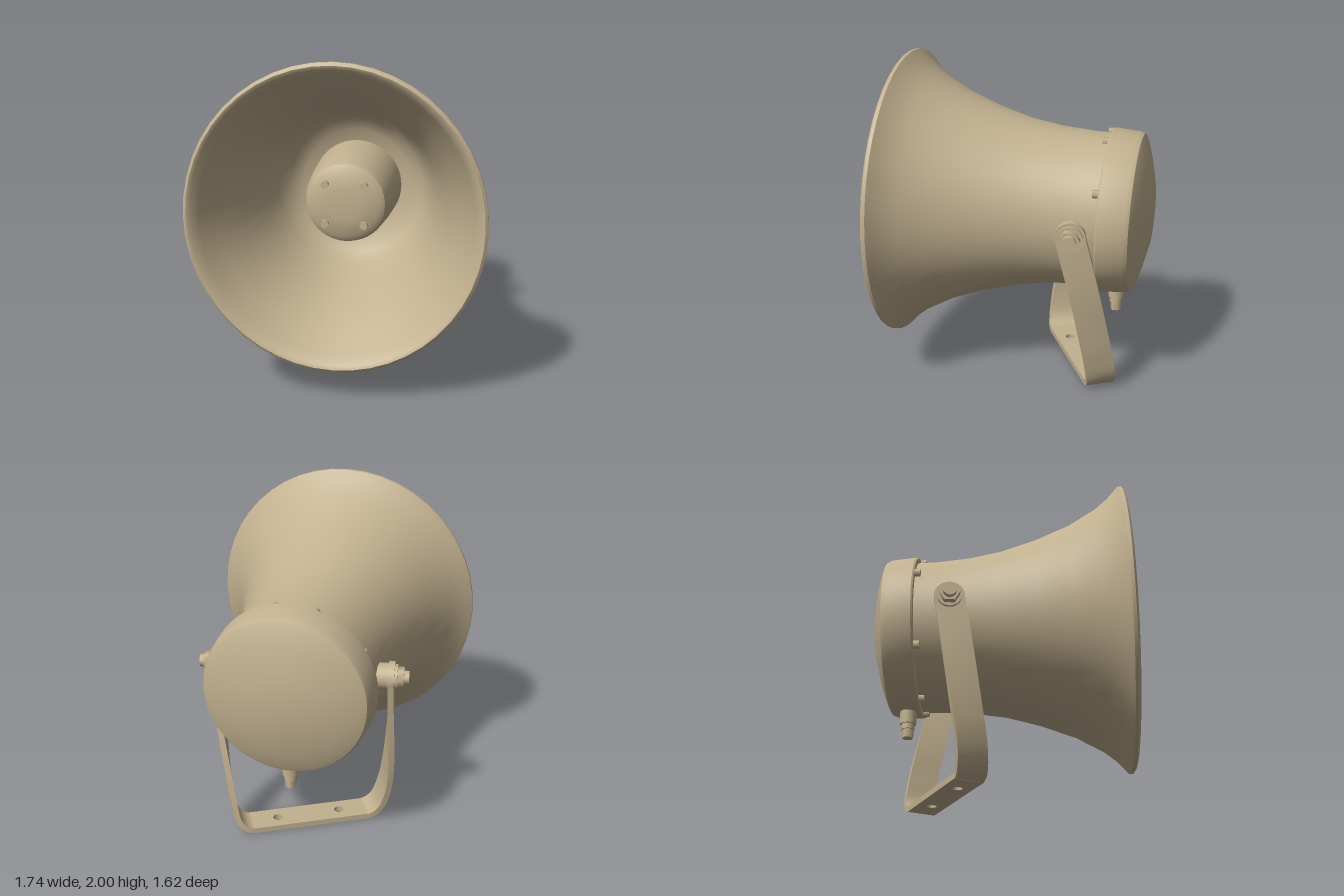
import * as THREE from 'three';
import { toCreasedNormals } from 'three/addons/utils/BufferGeometryUtils.js';

const paint = new THREE.MeshStandardMaterial({ color: 0xc2b190 });
paint.name = 'tan paint';

function add(parent, name, geometry, x = 0, y = 0, z = 0) {
  const mesh = new THREE.Mesh(geometry, paint);
  mesh.name = name;
  mesh.position.set(x, y, z);
  parent.add(mesh);
  return mesh;
}

// Turned part along z, from [radius, z] pairs
function turned(profile, crease = 0.6) {
  const points = profile.map(([r, z]) => new THREE.Vector2(r, z));
  return toCreasedNormals(new THREE.LatheGeometry(points, 48).rotateX(Math.PI / 2), crease);
}

// Short rod along x, from x0 to x1
function rod(r, x0, x1, sides = 20) {
  return new THREE.CylinderGeometry(r, r, x1 - x0, sides).rotateZ(-Math.PI / 2).translate((x0 + x1) / 2, 0, 0);
}

// Flat bar swept along a path while its width direction turns about y
function strip(path, angle0, angle1, halfWidth, halfThick) {
  const curve = new THREE.CatmullRomCurve3(path.map(p => new THREE.Vector3(...p)));
  const steps = 32, pos = [], index = [];
  for (let i = 0; i <= steps; i++) {
    const u = i / steps, p = curve.getPointAt(u), t = curve.getTangentAt(u);
    const a = THREE.MathUtils.lerp(angle0, angle1, THREE.MathUtils.smoothstep(u, 0, 0.85));
    const w = new THREE.Vector3(Math.sin(a), 0, Math.cos(a));
    w.addScaledVector(t, -w.dot(t)).normalize();
    const n = new THREE.Vector3().crossVectors(t, w);
    for (const [sw, sn] of [[1, 1], [-1, 1], [-1, -1], [1, -1]]) {
      const v = p.clone().addScaledVector(w, sw * halfWidth).addScaledVector(n, sn * halfThick);
      pos.push(v.x, Math.max(0, v.y), v.z);
    }
    if (i === steps) break;
    for (let j = 0; j < 4; j++) {
      const A = i * 4 + j, B = i * 4 + (j + 1) % 4;
      index.push(A, B, B + 4, A, B + 4, A + 4);
    }
  }
  const g = new THREE.BufferGeometry();
  g.setAttribute('position', new THREE.Float32BufferAttribute(pos, 3));
  g.setIndex(index);
  return toCreasedNormals(g, 0.7);
}

export function createModel() {
  const model = new THREE.Group();
  model.name = 'hornLoudspeaker';

  // Horn assembly, turned very slightly off the z axis
  const horn = new THREE.Group();
  horn.name = 'hornAssembly';
  horn.position.set(-0.02, 1.075, 0);
  horn.rotation.set(-0.02, 0.035, 0);
  model.add(horn);

  // Bell: outer skin, rolled rim, then the inner skin down to the throat
  const bell = add(horn, 'bell', turned([
    [0.48, -0.54], [0.482, -0.4], [0.497, -0.2], [0.53, 0], [0.59, 0.21], [0.675, 0.43],
    [0.77, 0.6], [0.835, 0.68], [0.885, 0.725], [0.908, 0.745], [0.908, 0.765], [0.89, 0.778], [0.868, 0.77],
    [0.83, 0.705], [0.745, 0.58], [0.645, 0.4], [0.565, 0.2], [0.5, 0.02],
    [0.44, -0.08], [0.36, -0.13], [0.26, -0.15],
  ], 0.8));
  bell.scale.x = 0.96;

  // Centre plug with four screws
  add(horn, 'plug', turned([
    [0.285, -0.16], [0.275, 0.05], [0.255, 0.28], [0.24, 0.33], [0.205, 0.355], [0.1, 0.367], [0, 0.37],
  ]));
  for (const sx of [-1, 1]) for (const sy of [-1, 1]) {
    add(horn, 'plugScrew', rod(0.025, -0.02, 0.03, 6).rotateY(-Math.PI / 2), sx * 0.118, sy * 0.122, 0.362);
  }

  // Domed rear cap
  add(horn, 'rearCap', turned([
    [0, -0.808], [0.2, -0.795], [0.36, -0.758], [0.455, -0.728], [0.488, -0.712], [0.5, -0.685],
    [0.512, -0.53], [0.505, -0.52], [0.46, -0.52],
  ]));

  // Bolts around the flange
  for (const degrees of [30, 77, 106, 150, 210, 254, 283, 330]) {
    const a = THREE.MathUtils.degToRad(degrees);
    add(horn, 'flangeBolt', rod(0.025, -0.03, 0.035, 6).rotateY(-Math.PI / 2),
      Math.cos(a) * 0.478, Math.sin(a) * 0.484, -0.52);
  }

  // Cable gland under the cap
  const gland = new THREE.Group();
  gland.name = 'cableGland';
  gland.position.set(-0.04, 0, -0.59);
  model.add(gland);
  add(gland, 'glandCollar', new THREE.CylinderGeometry(0.052, 0.05, 0.1, 20), 0, 0.53, 0);
  add(gland, 'glandNeck', new THREE.CylinderGeometry(0.04, 0.04, 0.04, 20), 0, 0.465, 0);
  add(gland, 'glandNut', new THREE.CylinderGeometry(0.035, 0.035, 0.065, 6), 0, 0.423, 0);

  // Mounting bracket: base plate with two holes
  const bracket = new THREE.Group();
  bracket.name = 'bracket';
  model.add(bracket);
  const yaw = 0.53, topYaw = 0.16, half = 0.09, thick = 0.036;
  const plate = new THREE.Shape();
  plate.moveTo(-0.37, -half).lineTo(0.37, -half).lineTo(0.37, half).lineTo(-0.37, half).closePath();
  for (const x of [-0.2, 0.2]) {
    const hole = new THREE.Path();
    hole.absarc(x, 0, 0.03, 0, Math.PI * 2, true);
    plate.holes.push(hole);
  }
  const base = add(bracket, 'bracketBase',
    new THREE.ExtrudeGeometry(plate, { depth: thick, bevelEnabled: false, curveSegments: 16 }).rotateX(-Math.PI / 2),
    -0.075, 0, -0.35);
  base.rotation.y = yaw;

  // Bracket legs, twisting from the pivots to the base
  add(bracket, 'rightLeg', strip([
    [-0.57, 1.07, -0.275], [-0.562, 0.7, -0.215], [-0.545, 0.4, -0.17], [-0.52, 0.23, -0.145],
    [-0.47, 0.08, -0.14], [-0.41, 0.022, -0.155], [-0.36, 0.018, -0.183],
  ], topYaw, yaw, half, thick / 2));
  add(bracket, 'leftLeg', strip([
    [0.49, 1.07, -0.4], [0.455, 0.75, -0.47], [0.405, 0.45, -0.525], [0.365, 0.23, -0.56],
    [0.325, 0.08, -0.57], [0.265, 0.022, -0.548], [0.21, 0.018, -0.517],
  ], topYaw, yaw, half, thick / 2));

  // Pivots: boss, rounded leg end, washer, nut and bolt tip
  for (const [name, x, z, turn] of [['rightPivot', -0.57, -0.275, Math.PI], ['leftPivot', 0.49, -0.4, 0]]) {
    const pivot = new THREE.Group();
    pivot.name = name;
    pivot.position.set(x, 1.07, z);
    pivot.rotation.y = topYaw + turn;
    bracket.add(pivot);
    add(pivot, 'boss', rod(0.08, -0.13, 0));
    add(pivot, 'legEnd', rod(0.092, -0.019, 0.019, 28));
    add(pivot, 'washer', rod(0.075, 0.019, 0.036));
    add(pivot, 'nut', rod(0.062, 0.036, 0.075, 6));
    add(pivot, 'boltTip', rod(0.04, 0.075, 0.105, 12));
  }
  return model;
}
